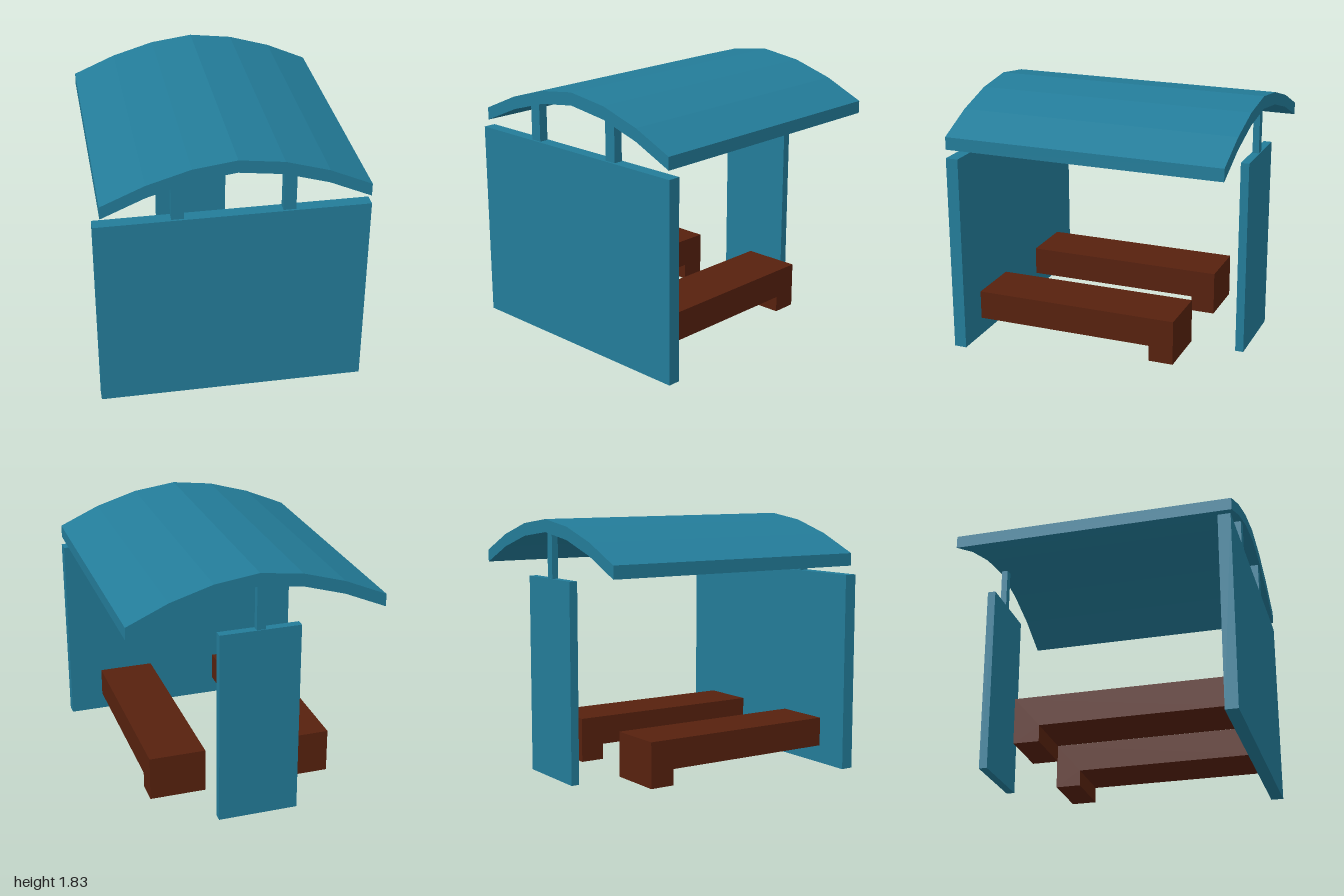
import * as THREE from 'three';

export function createModel() {
  const model = new THREE.Group();
  model.name = 'shelter';

  const teal = new THREE.MeshStandardMaterial({ color: 0x237c99 });
  teal.name = 'teal paint';
  const brown = new THREE.MeshStandardMaterial({ color: 0x57210e });
  brown.name = 'brown wood';

  // Box given by its min and max along each axis
  function block(name, material, [x0, x1], [y0, y1], [z0, z1]) {
    const mesh = new THREE.Mesh(new THREE.BoxGeometry(x1 - x0, y1 - y0, z1 - z0), material);
    mesh.position.set((x0 + x1) / 2, (y0 + y1) / 2, (z0 + z1) / 2);
    mesh.name = name;
    model.add(mesh);
  }

  // Side profile extruded along one axis, with flat facets
  function extrude(points, depth) {
    const shape = new THREE.Shape(points.map(([a, b]) => new THREE.Vector2(a, b)));
    return new THREE.ExtrudeGeometry(shape, { depth, bevelEnabled: false });
  }

  // Walls
  block('frontWall', teal, [-0.93, 0.925], [0, 1.42], [0.91, 1]);
  block('backWall', teal, [-0.285, 0.29], [0.01, 1.42], [-0.985, -0.925]);

  // Posts carrying the roof
  block('frontPostRight', teal, [-0.415, -0.33], [1.42, 1.7], [0.92, 0.985]);
  block('frontPostLeft', teal, [0.33, 0.415], [1.42, 1.7], [0.92, 0.985]);
  block('backPost', teal, [-0.033, 0.03], [1.42, 1.76], [-0.978, -0.932]);

  // Arched roof: a faceted curve of constant vertical thickness
  const arch = [[-0.88, 1.57], [-0.58, 1.7], [-0.28, 1.79], [0.02, 1.83],
    [0.33, 1.79], [0.63, 1.7], [0.92, 1.57]];
  const underside = arch.map(([x, y]) => [x, y - 0.09]);
  const roof = new THREE.Mesh(extrude([...underside, ...arch.reverse()], 2), teal);
  roof.position.z = -1;
  roof.name = 'roof';
  model.add(roof);

  // Pair of benches fixed to the front wall, each with a foot at the back end
  const benchProfile = [[-0.915, 0.13], [0.405, 0.13], [0.405, 0.015],
    [0.585, 0.015], [0.585, 0.34], [-0.915, 0.34]];
  const benchWidth = 0.412;
  for (const side of [-1, 1]) {
    const geometry = extrude(benchProfile, benchWidth);
    geometry.translate(0, 0, -benchWidth / 2);
    geometry.rotateY(Math.PI / 2);
    const bench = new THREE.Mesh(geometry, brown);
    bench.position.x = side * 0.47;
    bench.name = side > 0 ? 'benchLeft' : 'benchRight';
    model.add(bench);
  }

  return model;
}
